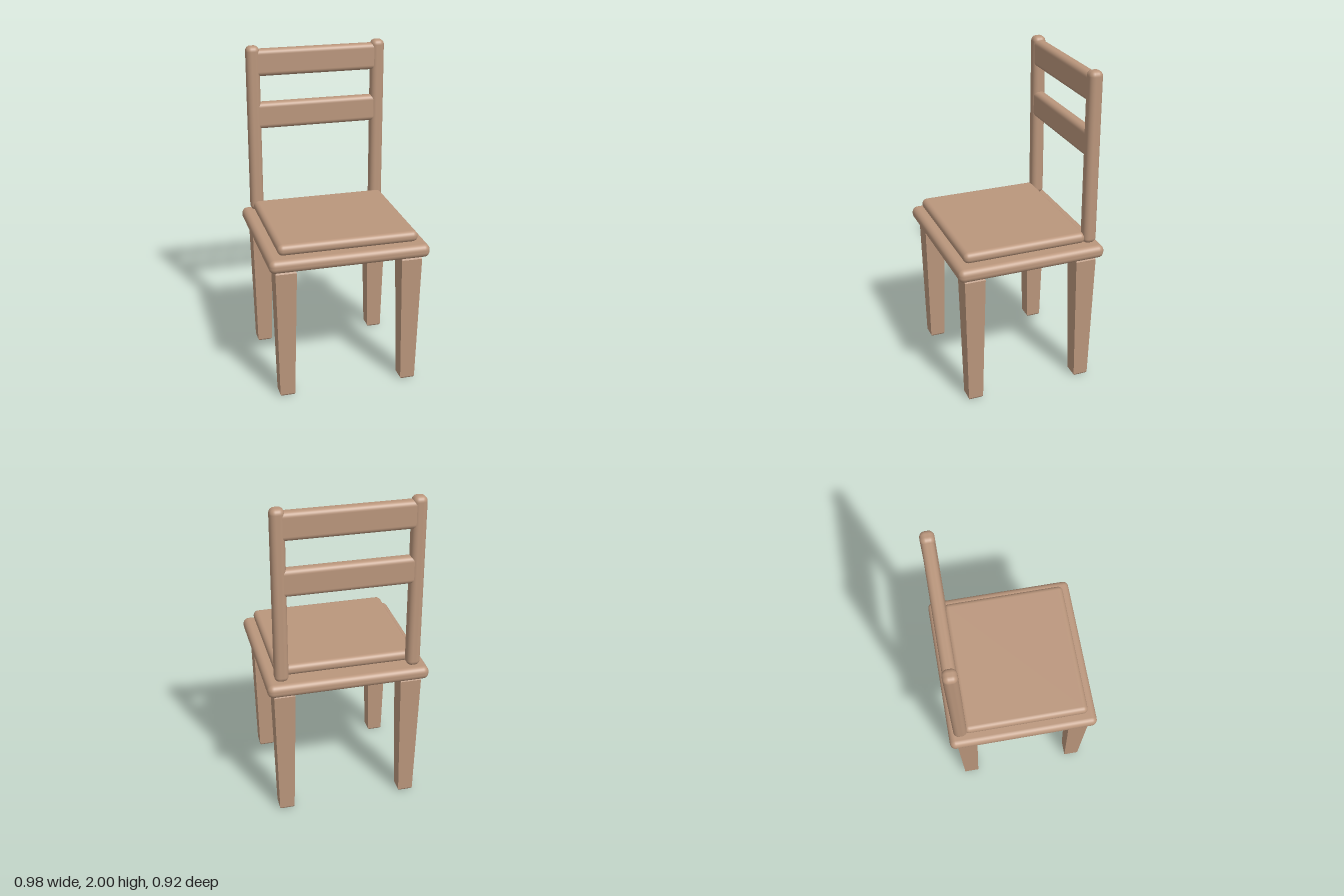
import * as THREE from 'three';
import { RoundedBoxGeometry } from 'three/addons/geometries/RoundedBoxGeometry.js';

export function createModel() {
  const model = new THREE.Group();
  model.name = 'chair';
  const wood = new THREE.MeshStandardMaterial({ color: 0xba967c });
  wood.name = 'light wood';

  const add = (name, geometry, x, y, z) => {
    const mesh = new THREE.Mesh(geometry, wood);
    mesh.name = name;
    mesh.position.set(x, y, z);
    model.add(mesh);
  };
  const rounded = (w, h, d, r) => new RoundedBoxGeometry(w, h, d, 4, r);

  // Seat board and the raised panel that stops at the back posts
  add('seat', rounded(0.98, 0.082, 0.92, 0.036), 0, 0.89, 0);
  add('seatPanel', rounded(0.856, 0.068, 0.77, 0.032), 0, 0.97, 0.023);

  // Square tapered leg with slightly bevelled ends
  const profile = [[0, 0], [0.04, 0], [0.046, 0.01], [0.064, 0.83], [0.058, 0.842], [0.058, 0.87], [0, 0.87]]
    .map(([half, y]) => new THREE.Vector2(half * Math.SQRT2, y));
  const leg = new THREE.LatheGeometry(profile, 4, Math.PI / 4).toNonIndexed();
  leg.computeVertexNormals();

  for (const [side, sx] of [['left', 1], ['right', -1]]) {
    add(side + 'FrontLeg', leg, sx * 0.386, 0, 0.354);
    add(side + 'BackLeg', leg, sx * 0.386, 0, -0.354);
    add(side + 'BackPost', rounded(0.083, 1.065, 0.083, 0.032), sx * 0.399, 1.4675, -0.386);
  }

  // Back rails, set into the posts
  const rail = rounded(0.84, 0.168, 0.074, 0.03);
  add('topRail', rail, 0, 1.895, -0.387);
  add('lowerRail', rail, 0, 1.561, -0.387);

  return model;
}
